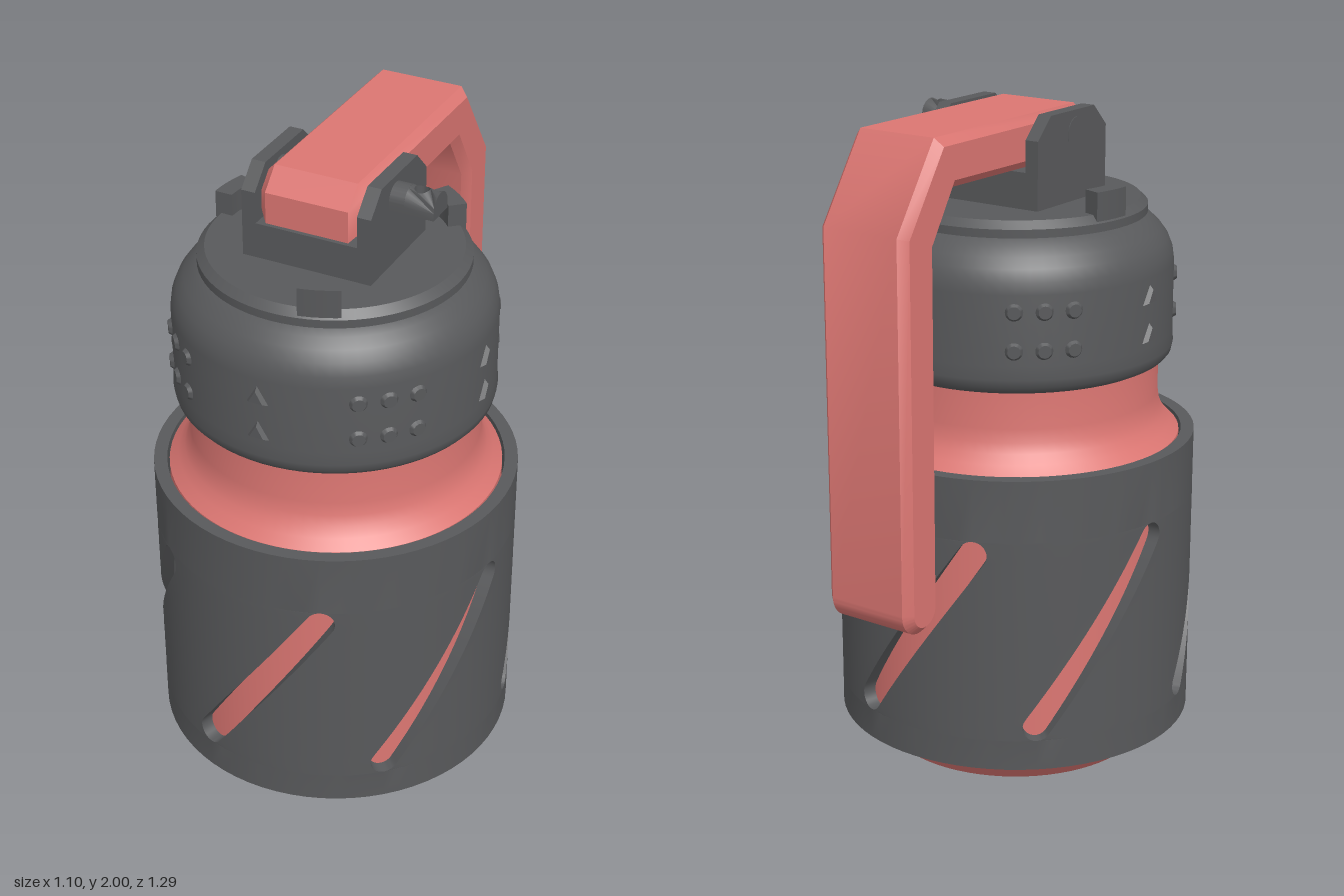
import * as THREE from 'three';
import { toCreasedNormals } from 'three/addons/utils/BufferGeometryUtils.js';

const CREASE = 0.65;
const DEG = Math.PI / 180;

export function createModel() {
  const gray = new THREE.MeshStandardMaterial({ color: 0x58595b });
  gray.name = 'dark gray';
  const coral = new THREE.MeshStandardMaterial({ color: 0xdb7672 });
  coral.name = 'coral';

  const model = new THREE.Group();
  const canister = new THREE.Group(); // round parts share one axis
  canister.name = 'canister';
  canister.position.z = 0.097;
  model.add(canister);

  function add(parent, name, geometry, material) {
    const mesh = new THREE.Mesh(toCreasedNormals(geometry, CREASE), material);
    mesh.name = name;
    parent.add(mesh);
    return mesh;
  }
  const lathe = (pts) => new THREE.LatheGeometry(pts.map((p) => new THREE.Vector2(...p)), 72);

  // Side outline in (z, y), extruded along x from x0 to x1
  function extrudeX(shape, x0, x1, bevel = 0) {
    const g = new THREE.ExtrudeGeometry(shape, {
      depth: x1 - x0 - 2 * bevel, bevelEnabled: bevel > 0, bevelThickness: bevel,
      bevelSize: bevel, bevelOffset: -bevel, bevelSegments: 1, curveSegments: 16,
    });
    return g.rotateY(-Math.PI / 2).translate(x1 - bevel, 0, 0);
  }
  const polygon = (pts) => new THREE.Shape(pts.map((p) => new THREE.Vector2(...p)));

  // Inner body with chamfered foot and narrow neck
  add(canister, 'body', lathe([
    [0, 0], [0.41, 0], [0.503, 0.09], [0.503, 1.005], [0.475, 1.033], [0.455, 1.06],
    [0.442, 1.09], [0.436, 1.13], [0.435, 1.26], [0, 1.26],
  ]), coral);

  add(canister, 'sleeve', slottedSleeve(), gray);

  // Lid with rounded shoulder and top plate
  add(canister, 'lid', lathe([
    [0, 1.24], [0.44, 1.24], [0.46, 1.25], [0.474, 1.266], [0.479, 1.29], [0.476, 1.33],
    [0.476, 1.54], [0.471, 1.575], [0.457, 1.61], [0.435, 1.64], [0.408, 1.665], [0.375, 1.69], [0, 1.69],
  ]), gray);
  add(canister, 'lidPlate', lathe([
    [0, 1.685], [0.395, 1.685], [0.395, 1.71], [0.372, 1.732], [0, 1.732],
  ]), gray);

  // Three curved tabs on the lid rim
  for (const deg of [20.5, 140.5, 260.5]) {
    const half = 9 * DEG;
    const s = new THREE.Shape();
    s.absarc(0, 0, 0.39, -half, half, false);
    s.absarc(0, 0, 0.335, half, -half, true);
    const g = new THREE.ExtrudeGeometry(s, { depth: 0.11, bevelEnabled: false, curveSegments: 8 });
    g.rotateX(-Math.PI / 2).translate(0, 1.69, 0);
    add(canister, 'rimTab', g, gray).rotation.y = (deg - 90) * DEG;
  }

  // Raised grip studs and triangles around the lid
  function onLid(name, geometry, deg, y) {
    geometry.rotateX(Math.PI / 2).translate(0, 0, 0.476);
    const mesh = add(canister, name, geometry, gray);
    mesh.rotation.y = deg * DEG;
    mesh.position.y = y;
  }
  for (let q = 0; q < 4; q++) {
    for (const y of [1.49, 1.375]) {
      for (const off of [-10.5, 0, 10.5]) {
        onLid('gripStud', new THREE.CylinderGeometry(0.019, 0.032, 0.02, 20), 45 + q * 90 + off, y);
      }
      onLid('gripTriangle', new THREE.CylinderGeometry(0.025, 0.05, 0.024, 3, 1, false, Math.PI), q * 90, y - 0.008);
    }
  }

  // Hinge bracket: base and two chamfered cheeks
  const base = new THREE.BoxGeometry(0.314, 0.115, 0.355).translate(0, 1.7825, 0.0975);
  add(model, 'bracketBase', base, gray);
  const cheek = polygon([
    [-0.08, 1.725], [0.275, 1.725], [0.275, 1.935], [0.21, 2], [-0.015, 2], [-0.08, 1.935],
  ]);
  for (const x of [-0.2, 0.157]) add(model, 'bracketCheek', extrudeX(cheek, x, x + 0.043), gray);

  // Bent lever handle with bevelled edges and rounded tip
  const lever = new THREE.Shape();
  lever.moveTo(0.27, 1.845);
  lever.lineTo(0.27, 1.94);
  lever.lineTo(0.21, 2);
  lever.lineTo(-0.475, 2);
  lever.lineTo(-0.645, 1.75);
  lever.lineTo(-0.645, 0.645);
  lever.absarc(-0.57, 0.645, 0.075, Math.PI, 2 * Math.PI, false);
  lever.lineTo(-0.495, 1.7);
  lever.lineTo(-0.4, 1.85);
  add(model, 'handle', extrudeX(lever, -0.153, 0.153, 0.025), coral);

  // D-shaped hinge pin, ending in a lug with a vertical hole
  const pinTop = (z) => 1.935 + Math.sqrt(Math.max(0, 0.045 ** 2 - (z - 0.12) ** 2));
  const pin = new THREE.Shape();
  pin.moveTo(0.075, 1.912);
  pin.lineTo(0.165, 1.912);
  pin.lineTo(0.165, 1.935);
  pin.absarc(0.12, 1.935, 0.045, 0, Math.PI, false);
  add(model, 'pin', extrudeX(pin, -0.202, 0.245), gray);

  const plan = new THREE.Shape();
  const n = 10;
  const edge = (i) => -0.12 + 0.045 * Math.cos((i / n) * Math.PI);
  for (let i = 0; i <= n; i++) plan[i ? 'lineTo' : 'moveTo'](0.245, edge(i));
  for (let i = n; i >= 0; i--) plan.lineTo(0.335, edge(i));
  plan.holes.push(new THREE.Path().absarc(0.28, -0.12, 0.022, 0, 2 * Math.PI, true));
  const lug = new THREE.ExtrudeGeometry(plan, { depth: 0.05, bevelEnabled: false, curveSegments: 10 });
  lug.rotateX(-Math.PI / 2).translate(0, 1.912, 0);
  const p = lug.attributes.position;
  for (let i = 0; i < p.count; i++) if (p.getY(i) > 1.93) p.setY(i, pinTop(p.getZ(i)));
  add(model, 'pinLug', lug, gray);

  return model;
}

// Tube wall with six helical, round-ended slots, built as six strips between slots
function slottedSleeve() {
  const R = 0.55, r = 0.51, bottom = 0.095, top = 1.01, cap = 0.043;
  const A = { s: -18 * DEG * R, y: 0.232 }, B = { s: 22 * DEG * R, y: 0.777 };
  const lo = A.y - cap, hi = B.y + cap;

  // Slot edge angle at height y: side +1 is right, -1 is left
  function slotEdge(y, side) {
    if (y <= lo) return A.s / R;
    if (y >= hi) return B.s / R;
    let best = -Infinity;
    for (let i = 0; i <= 400; i++) {
      const t = i / 400;
      const d = cap ** 2 - (y - A.y - t * (B.y - A.y)) ** 2;
      if (d >= 0) best = Math.max(best, side * (A.s + t * (B.s - A.s)) + Math.sqrt(d));
    }
    return (side * best) / R;
  }

  const rows = [bottom];
  const steps = 40, cols = 12;
  for (let i = 0; i <= steps; i++) rows.push(lo + (hi - lo) * (0.5 - 0.5 * Math.cos((Math.PI * i) / steps)));
  rows.push(top);

  const pos = [];
  const pt = (rad, a, y) => [rad * Math.sin(a), y, rad * Math.cos(a)];
  const quad = (a, b, c, d) => pos.push(...a, ...b, ...c, ...a, ...c, ...d);

  const edges = rows.map((y) => [slotEdge(y, 1), slotEdge(y, -1) + Math.PI / 3]);
  for (let k = 0; k < 6; k++) {
    const ang = (j, c) => k * Math.PI / 3 + edges[j][0] + (edges[j][1] - edges[j][0]) * (c / cols);
    for (let j = 0; j < rows.length - 1; j++) {
      const y0 = rows[j], y1 = rows[j + 1];
      for (let c = 0; c < cols; c++) {
        const a0 = ang(j, c), b0 = ang(j, c + 1), a1 = ang(j + 1, c), b1 = ang(j + 1, c + 1);
        quad(pt(R, a0, y0), pt(R, b0, y0), pt(R, b1, y1), pt(R, a1, y1));
        quad(pt(r, b0, y0), pt(r, a0, y0), pt(r, a1, y1), pt(r, b1, y1));
        if (j === 0) quad(pt(r, a0, y0), pt(r, b0, y0), pt(R, b0, y0), pt(R, a0, y0));
        if (j === rows.length - 2) quad(pt(R, a1, y1), pt(R, b1, y1), pt(r, b1, y1), pt(r, a1, y1));
      }
      // Slot side walls
      if (j > 0 && j < rows.length - 2) {
        const a0 = ang(j, 0), a1 = ang(j + 1, 0), b0 = ang(j, cols), b1 = ang(j + 1, cols);
        quad(pt(R, b0, y0), pt(r, b0, y0), pt(r, b1, y1), pt(R, b1, y1));
        quad(pt(r, a0, y0), pt(R, a0, y0), pt(R, a1, y1), pt(r, a1, y1));
      }
    }
  }
  const g = new THREE.BufferGeometry();
  g.setAttribute('position', new THREE.Float32BufferAttribute(pos, 3));
  g.computeVertexNormals();
  return g;
}
